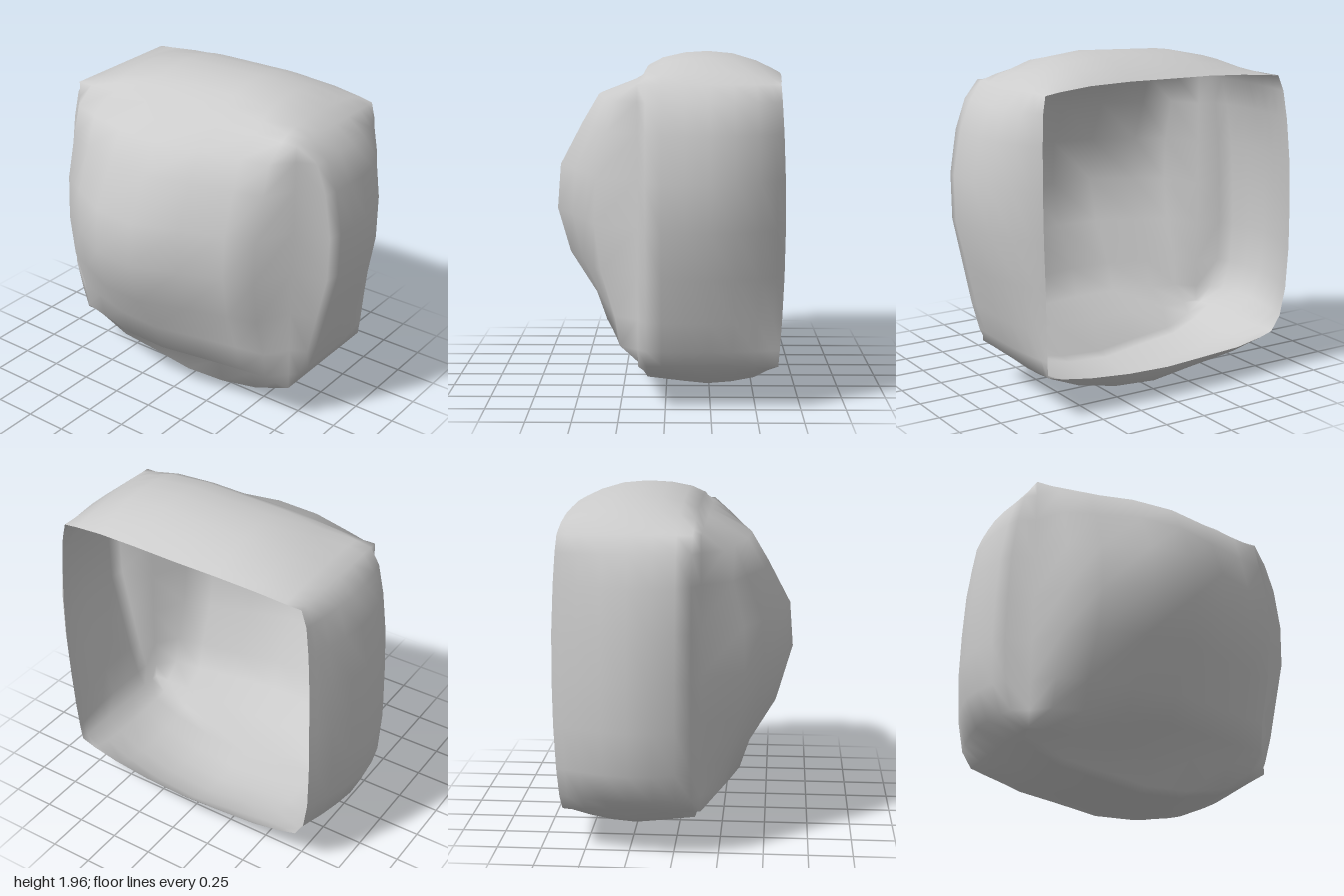
import * as THREE from 'three';
import { mergeGeometries, mergeVertices } from 'three/addons/utils/BufferGeometryUtils.js';

const HALF = 0.77, MID_Y = 1.02, MID_Z = -0.235, DEPTH = 0.385;

// Grid lines shared by every face, closer together near the edges
const KNOTS = [-1, -0.88, -0.66, -0.34, 0, 0.34, 0.66, 0.88, 1];
const LAST = KNOTS.length - 1;

// Outward swelling at the grid lines: along each wall, and from rim to front edge
const walls = {
  right: {
    along: [0, 0.05, 0.105, 0.165, 0.23, 0.235, 0.19, 0.12, 0],
    deep: [0.15, 0.36, 0.63, 0.9, 1, 1, 0.95, 0.87, 0],
  },
  left: {
    along: [0, 0.14, 0.21, 0.23, 0.22, 0.2, 0.15, 0.09, 0],
    deep: [0.4, 0.5, 0.68, 0.87, 1, 0.95, 0.8, 0.62, 0],
  },
  top: {
    along: [0, 0.03, 0.095, 0.145, 0.155, 0.165, 0.135, 0.06, 0],
    deep: [0.25, 0.42, 0.68, 0.92, 1, 0.95, 0.78, 0.5, 0],
  },
  bottom: {
    along: [0, 0.08, 0.17, 0.205, 0.25, 0.23, 0.165, 0.08, 0],
    deep: [0.28, 0.5, 0.78, 0.93, 1, 0.92, 0.83, 0.77, 0],
  },
};

// Front swelling at the grid lines, across and up
const across = [0, 0.46, 0.66, 0.92, 0.97, 0.76, 0.58, 0.47, 0];
const upward = [0, 0.42, 0.54, 0.85, 1, 0.96, 0.7, 0.5, 0];

// Grid surface from a point rule over the grid lines
function patch(rule) {
  const positions = [], index = [], row = LAST + 1;
  for (let j = 0; j <= LAST; j++) {
    for (let i = 0; i <= LAST; i++) {
      positions.push(...rule(i, j));
      if (i < LAST && j < LAST) {
        const a = j * row + i;
        index.push(a, a + 1, a + row + 1, a, a + row + 1, a + row);
      }
    }
  }
  const g = new THREE.BufferGeometry();
  g.setAttribute('position', new THREE.Float32BufferAttribute(positions, 3));
  g.setIndex(index);
  return g;
}

// Position along a wall, its outward reach, and its depth with the rim bowing backward
function wallPoint(wall, i, j) {
  const t = KNOTS[i], w = KNOTS[j];
  return {
    t: HALF * t,
    reach: HALF + wall.along[i] * wall.deep[j],
    z: MID_Z + DEPTH * w - 0.03 * (1 - t * t) * Math.max(0, -w),
  };
}

function sideWall(wall, sign) {
  return patch((i, j) => {
    const { t, reach, z } = wallPoint(wall, sign > 0 ? i : LAST - i, j);
    return [sign * reach, MID_Y + t, z];
  });
}

function levelWall(wall, sign) {
  return patch((i, j) => {
    const { t, reach, z } = wallPoint(wall, sign > 0 ? LAST - i : i, j);
    return [t, MID_Y + sign * reach, z];
  });
}

// Domed front that rises steeply from the straight front edges
function frontDome() {
  return patch((i, j) => [
    HALF * KNOTS[i],
    MID_Y + HALF * KNOTS[j],
    MID_Z + DEPTH + 0.515 * across[i] * upward[j],
  ]);
}

export function createModel() {
  const group = new THREE.Group();
  group.name = 'openCushionShell';
  // Join the five faces into one smooth skin, open at the back
  const skin = mergeVertices(mergeGeometries([
    sideWall(walls.right, 1),
    sideWall(walls.left, -1),
    levelWall(walls.top, 1),
    levelWall(walls.bottom, -1),
    frontDome(),
  ]), 1e-4);
  skin.computeVertexNormals();
  const shell = new THREE.Mesh(skin, new THREE.MeshStandardMaterial({ color: 0xcccccc, side: THREE.DoubleSide }));
  shell.name = 'shell';
  group.add(shell);
  return group;
}
